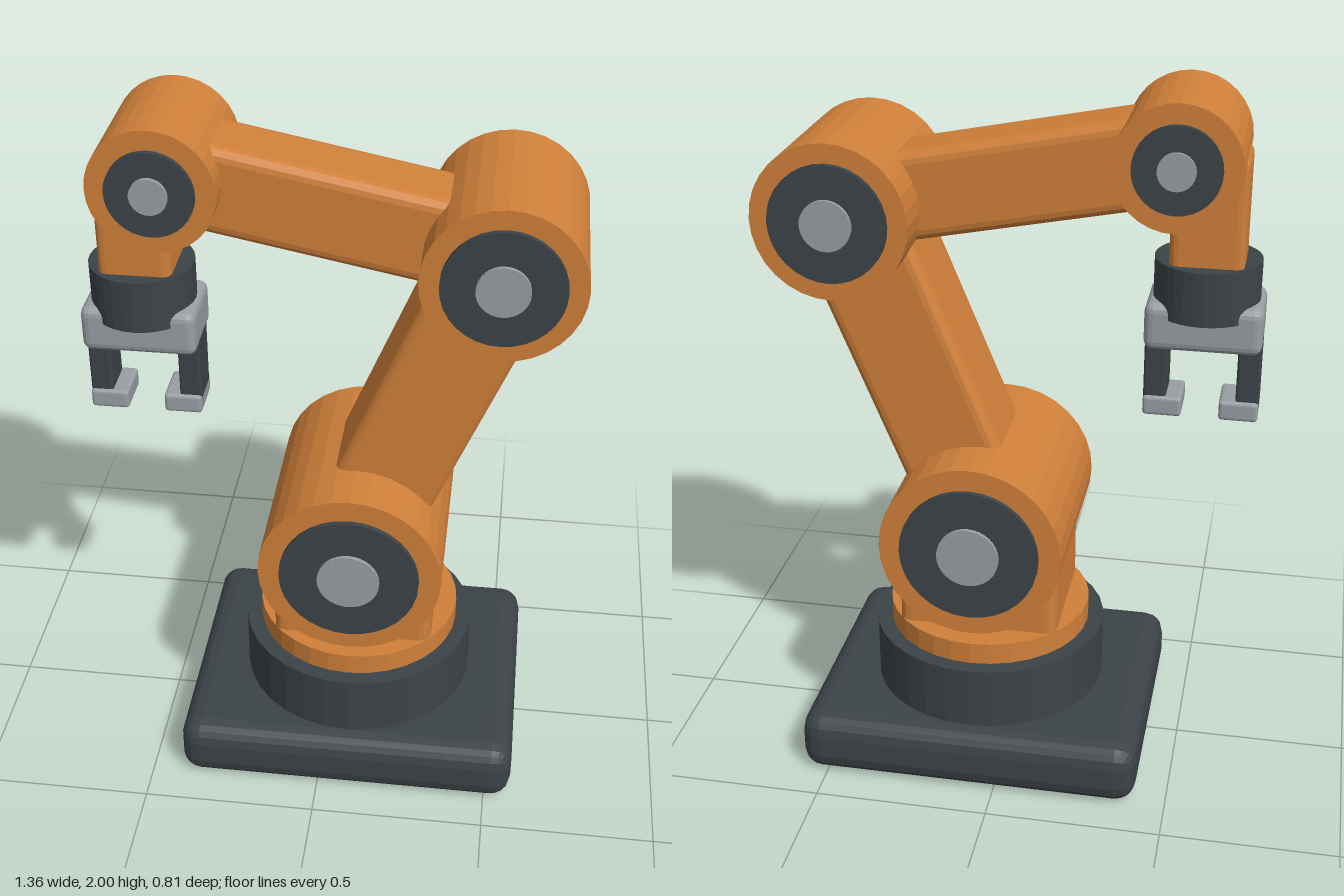
import * as THREE from 'three';
import { RoundedBoxGeometry } from 'three/addons/geometries/RoundedBoxGeometry.js';

const paint = (color) => new THREE.MeshStandardMaterial({ color, flatShading: true });

export function createModel() {
  const model = new THREE.Group();
  model.name = 'robotArm';
  const orange = paint(0xd0803a), dark = paint(0x3c4347), grey = paint(0x989ea3);

  const add = (name, geometry, material, x, y, z = 0, parent = model) => {
    const mesh = new THREE.Mesh(geometry, material);
    mesh.name = name;
    mesh.position.set(x, y, z);
    parent.add(mesh);
    return mesh;
  };
  const box = (w, h, d, r) => new RoundedBoxGeometry(w, h, d, 2, r);
  const drum = (r, h) => new THREE.CylinderGeometry(r, r, h, 32);

  // Joint: a drum along z with a stepped cap and hub on both ends
  const joint = (name, p, r, halfDepth, capR, hubR) => {
    const group = new THREE.Group();
    group.name = name;
    group.position.set(p.x, p.y, 0);
    group.add(new THREE.Group());
    group.clear();
    [['Drum', r, halfDepth, orange], ['Caps', capR, halfDepth + 0.015, dark], ['Hubs', hubR, halfDepth + 0.026, grey]]
      .forEach(([part, radius, half, material]) => {
        add(name + part, drum(radius, half * 2).rotateX(Math.PI / 2), material, 0, 0, 0, group);
      });
    model.add(group);
  };

  // Link: a rounded beam running between two joint centres
  const link = (name, a, b, height, depth) => {
    const d = b.clone().sub(a);
    const mid = a.clone().add(b).multiplyScalar(0.5);
    add(name, box(d.length(), height, depth, 0.032), orange, mid.x, mid.y).rotation.z = Math.atan2(d.y, d.x);
  };

  const shoulder = new THREE.Vector2(0.082, 0.73);
  const elbow = new THREE.Vector2(0.46, 1.653);
  const wrist = new THREE.Vector2(-0.443, 1.83);

  // Base, turntable and column
  const baseX = 0.082;
  add('base', box(0.99, 0.185, 0.81, 0.06), dark, baseX, 0.0925);
  add('turntable', drum(0.342, 0.2), dark, baseX, 0.27);
  add('turntableCollar', drum(0.297, 0.085), orange, baseX, 0.3925);
  add('column', box(0.464, 0.4, 0.41, 0.035), orange, baseX, 0.58);

  // Arm
  joint('shoulder', shoulder, 0.26, 0.295, 0.198, 0.088);
  joint('elbow', elbow, 0.215, 0.24, 0.162, 0.07);
  joint('wrist', wrist, 0.17, 0.18, 0.117, 0.05);
  link('upperArm', shoulder, elbow, 0.298, 0.286);
  link('forearm', wrist, elbow, 0.244, 0.214);

  // Hand
  const handX = -0.522;
  add('wristLink', box(0.2, 0.36, 0.2, 0.025), orange, handX, 1.66);
  add('handCollar', drum(0.145, 0.15), dark, handX, 1.47);
  add('palm', box(0.318, 0.132, 0.22, 0.025), grey, handX, 1.37);

  // Gripper: two mirrored fingers with tips turned inward
  for (const [side, s] of [['right', -1], ['left', 1]]) {
    add(side + 'Finger', box(0.063, 0.22, 0.115, 0.008), dark, handX + s * 0.127, 1.235);
    add(side + 'FingerTip', box(0.107, 0.056, 0.135, 0.01), grey, handX + s * 0.105, 1.122);
  }
  return model;
}
